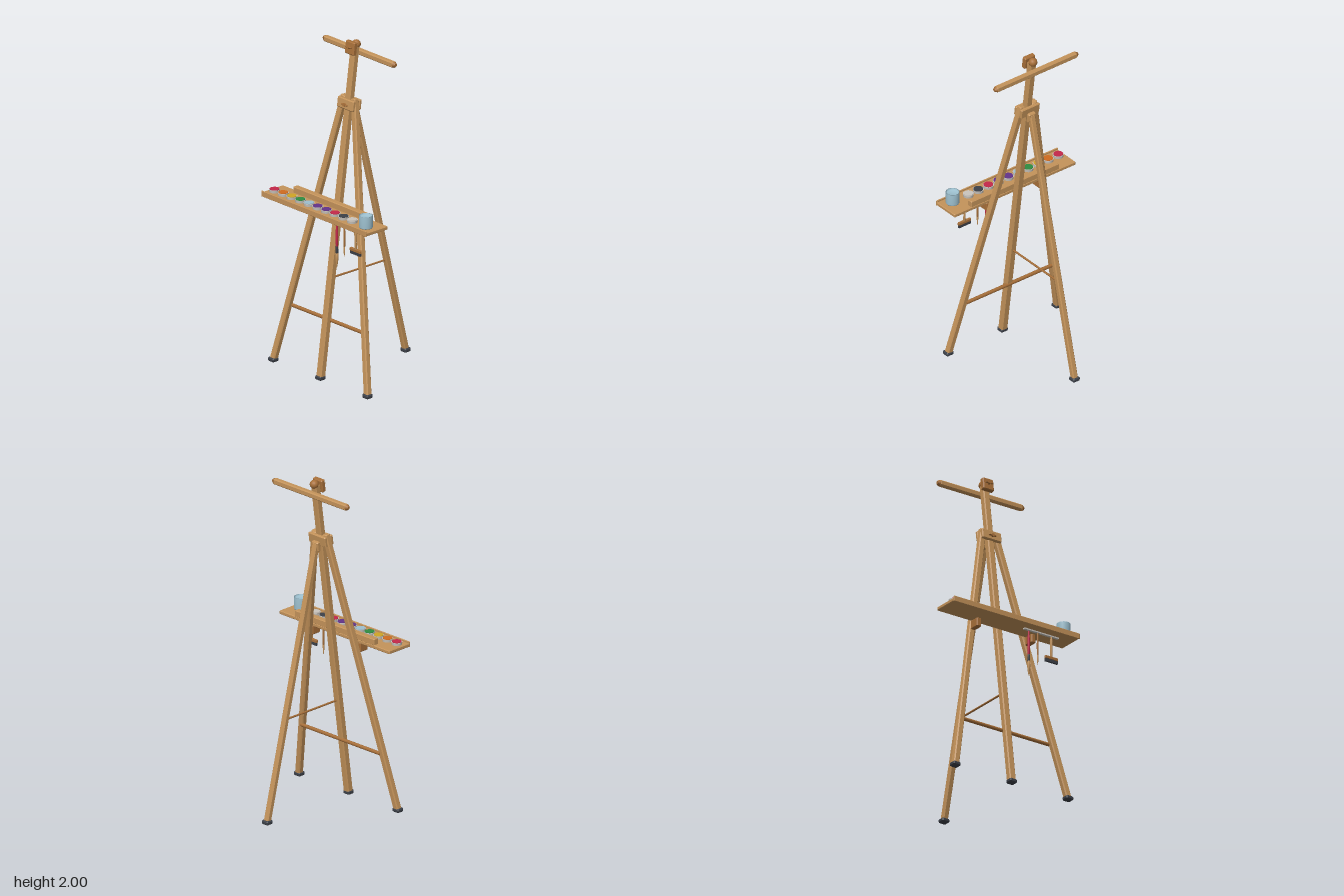
import * as THREE from 'three';

const mat = (name, color, extra = {}) => {
  const m = new THREE.MeshStandardMaterial({ color, ...extra });
  m.name = name;
  return m;
};

// box with all edges chamfered, centred on the origin
function chamferBox(w, h, d, c = 0.005) {
  const x = w / 2 - c, z = d / 2 - c;
  const s = new THREE.Shape();
  const k = Math.min(c * 0.6, x * 0.4, z * 0.4);
  [[-x + k, -z], [x - k, -z], [x, -z + k], [x, z - k], [x - k, z], [-x + k, z], [-x, z - k], [-x, -z + k]]
    .forEach(([a, b], i) => (i ? s.lineTo(a, b) : s.moveTo(a, b)));
  s.closePath();
  const g = new THREE.ExtrudeGeometry(s, {
    depth: h - 2 * c, bevelEnabled: true, bevelSize: c, bevelThickness: c, bevelSegments: 1,
  });
  g.translate(0, 0, -(h - 2 * c) / 2);
  g.rotateX(-Math.PI / 2);
  return g;
}

export function createModel() {
  const root = new THREE.Group();
  root.name = 'easel';
  const wood = mat('wood', 0xc4935a), dark = mat('dark wood', 0xa8703a);
  const rubber = mat('charcoal', 0x3c4048), metal = mat('pale metal', 0xcac5be);
  const blue = mat('pale blue', 0x9dc0cf);
  const red = mat('crimson', 0xc4284a), orange = mat('orange', 0xd06c20);
  const yellow = mat('yellow', 0xd0a626), green = mat('green', 0x2f8c40), purple = mat('purple', 0x63348a);

  const add = (name, geo, m, x = 0, y = 0, z = 0, parent = root) => {
    const mesh = new THREE.Mesh(geo, m);
    mesh.name = name;
    mesh.position.set(x, y, z);
    parent.add(mesh);
    return mesh;
  };
  const V = (x, y, z) => new THREE.Vector3(x, y, z);

  // chamfered bar running from a to b
  const bar = (name, a, b, w, d, m) => {
    const dir = b.clone().sub(a), len = dir.length();
    dir.normalize();
    const side = dir.clone().cross(V(0, 0, 1)).normalize();
    const mesh = add(name, chamferBox(w, len, d), m);
    mesh.quaternion.setFromRotationMatrix(new THREE.Matrix4().makeBasis(side, dir, side.clone().cross(dir)));
    mesh.position.copy(a).add(b).multiplyScalar(0.5);
    return mesh;
  };
  const rod = (name, a, b, r, m) => {
    const dir = b.clone().sub(a);
    const mesh = add(name, new THREE.CylinderGeometry(r, r, dir.length(), 8), m);
    mesh.quaternion.setFromUnitVectors(V(0, 1, 0), dir.normalize());
    mesh.position.copy(a).add(b).multiplyScalar(0.5);
    return mesh;
  };

  // the mast and front legs share one leaning plane
  const lean = 0.136, tilt = -Math.atan(lean);
  const planeZ = (y) => 0.313 - lean * y;
  const foot = (name, x, z) => add(name, chamferBox(0.05, 0.024, 0.048, 0.006), rubber, x, 0.012, z);

  // mast, legs and rubber feet
  bar('mast', V(0, 0.01, planeZ(0.01)), V(0, 1.97, planeZ(1.97)), 0.043, 0.04, wood);
  foot('mastFoot', 0, 0.313);
  for (const s of [-1, 1]) {
    const side = s > 0 ? 'left' : 'right';
    bar(side + 'FrontLeg', V(s * 0.395, 0.01, planeZ(0.01)), V(s * 0.042, 1.665, planeZ(1.665)), 0.038, 0.036, wood);
    foot(side + 'FrontFoot', s * 0.395, 0.313);
  }
  bar('backLeg', V(0, 0.01, -0.344), V(0, 1.61, 0.052), 0.035, 0.034, wood);
  foot('backFoot', 0, -0.344);

  // stretchers
  rod('frontStretcher', V(-0.315, 0.35, 0.25), V(0.315, 0.35, 0.25), 0.011, dark);
  rod('backStretcher', V(0, 0.597, 0.22), V(0, 0.597, -0.19), 0.006, dark);

  // wing nut facing the front
  const wingNut = (name, y, z) => {
    const g = new THREE.Group();
    g.name = name;
    g.position.set(0, y, z);
    g.rotation.x = tilt;
    root.add(g);
    add('hub', new THREE.CylinderGeometry(0.01, 0.01, 0.026, 10).rotateX(Math.PI / 2), dark, 0, 0, 0, g);
    add('wings', chamferBox(0.05, 0.007, 0.012, 0.002), dark, 0, 0, 0.005, g);
  };

  // clamp around the leg tops, with the hinge for the back leg
  add('clampFront', chamferBox(0.135, 0.062, 0.022), wood, 0, 1.627, planeZ(1.627) + 0.022).rotation.x = tilt;
  add('clampBack', chamferBox(0.135, 0.062, 0.02), wood, 0, 1.627, planeZ(1.627) - 0.026).rotation.x = tilt;
  add('hinge', chamferBox(0.05, 0.06, 0.026), wood, 0, 1.59, 0.052).rotation.x = tilt;
  wingNut('clampWingNut', 1.625, planeZ(1.625) + 0.032);

  // mast head: front block, ball cap and cross beam
  add('headBlock', chamferBox(0.075, 0.076, 0.03), dark, 0, 1.96, planeZ(1.96) + 0.03).rotation.x = tilt;
  wingNut('headWingNut', 1.967, planeZ(1.967) + 0.046);
  add('ballCap', new THREE.SphereGeometry(0.026, 16, 12), dark, 0, 1.973, 0.036);
  bar('crossBeam', V(-0.29, 1.92, 0.009), V(0.29, 1.92, 0.009), 0.034, 0.032, wood);
  for (const s of [-1, 1]) {
    const cap = add('beamEndCap', new THREE.CylinderGeometry(0.01, 0.019, 0.014, 8), dark, s * 0.295, 1.92, 0.009);
    cap.rotation.z = -s * Math.PI / 2;
  }

  // tray with back ledge, front lip and brackets
  add('tray', chamferBox(0.88, 0.022, 0.17, 0.004), wood, 0, 1.018, 0.282);
  add('trayLip', chamferBox(0.88, 0.034, 0.009, 0.002), wood, 0, 1.022, 0.363);
  add('trayLedge', chamferBox(0.635, 0.04, 0.036, 0.004), wood, 0, 1.045, 0.216);
  for (const s of [-1, 1])
    add('trayBracket', chamferBox(0.032, 0.055, 0.065), dark, s * 0.19, 0.98, 0.232);

  // paint pans
  const paints = [red, orange, yellow, green, blue, purple, purple, red, rubber, metal];
  paints.forEach((paint, i) => {
    const x = -0.396 + i * 0.0725;
    add('paintPan', new THREE.CylinderGeometry(0.032, 0.03, 0.016, 20), metal, x, 1.037, 0.303);
    add('paint', new THREE.CylinderGeometry(0.028, 0.028, 0.003, 20), paint, x, 1.0465, 0.303);
  });

  // water cup
  const cup = [[0, 0], [0.037, 0], [0.04, 0.006], [0.04, 0.074], [0.036, 0.074], [0.036, 0.062], [0, 0.062]];
  add('waterCup', new THREE.LatheGeometry(cup.map(([r, y]) => new THREE.Vector2(r, y)), 24), blue, 0.371, 1.029, 0.303);

  // hanging rail under the tray
  add('toolRail', new THREE.BoxGeometry(0.24, 0.008, 0.016), metal, 0.213, 1.001, 0.303);

  // turned brush part from [radius, y] points
  const turned = (name, pts, m, x) =>
    add(name, new THREE.LatheGeometry(pts.map(([r, y]) => new THREE.Vector2(r, y)), 10), m, x, 0, 0.303);

  // long round brush
  turned('brushHandle', [[0, 0.845], [0.006, 0.845], [0.008, 0.9], [0.005, 0.99], [0, 0.998]], red, 0.127);
  turned('brushFerrule', [[0, 0.805], [0.009, 0.805], [0.007, 0.845], [0, 0.85]], rubber, 0.127);
  turned('brushTip', [[0, 0.712], [0.005, 0.735], [0.01, 0.775], [0.008, 0.806], [0, 0.806]], wood, 0.127);

  // thin round brush
  turned('thinBrushHandle', [[0, 0.86], [0.005, 0.86], [0.006, 0.92], [0.004, 0.998], [0, 0.999]], dark, 0.19);
  turned('thinBrushTip', [[0, 0.795], [0.004, 0.82], [0.005, 0.86], [0, 0.86]], wood, 0.19);

  // flat wide brush
  turned('wideBrushHandle', [[0, 0.87], [0.009, 0.87], [0.006, 0.91], [0.009, 0.97], [0.004, 0.998], [0, 0.999]], wood, 0.285);
  add('wideBrushHead', chamferBox(0.09, 0.02, 0.016, 0.003), dark, 0.285, 0.864, 0.303);
  add('wideBrushBristles', new THREE.BoxGeometry(0.085, 0.018, 0.012), rubber, 0.285, 0.847, 0.303);
  return root;
}
